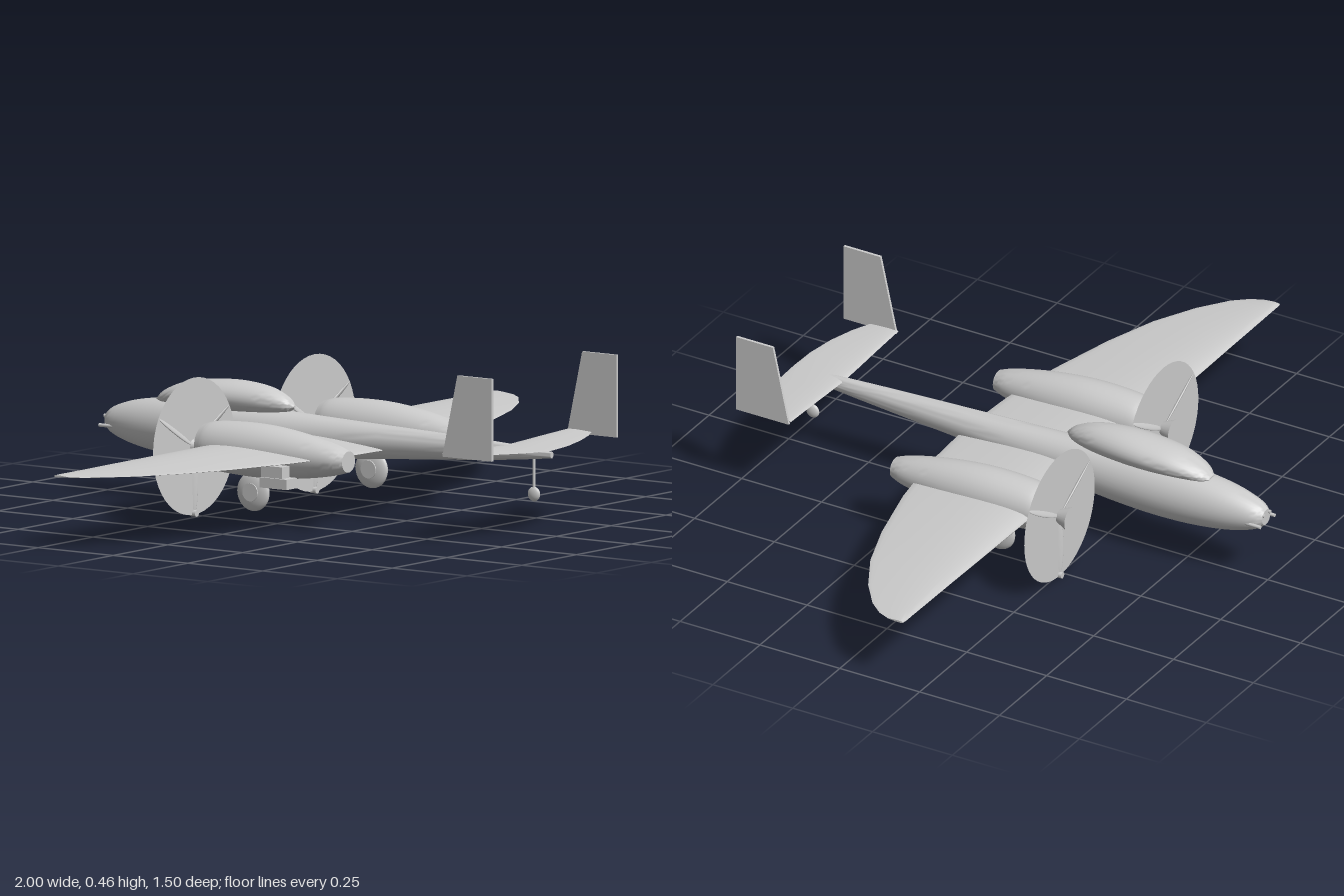
import * as THREE from 'three';
import { toCreasedNormals } from 'three/addons/utils/BufferGeometryUtils.js';

const mat = new THREE.MeshStandardMaterial({ color: 0xcccccc });
const thinMat = new THREE.MeshStandardMaterial({ color: 0xcccccc, side: THREE.DoubleSide });

function add(parent, name, geometry, x = 0, y = 0, z = 0, material = mat) {
  const mesh = new THREE.Mesh(geometry, material);
  mesh.name = name;
  mesh.position.set(x, y, z);
  parent.add(mesh);
  return mesh;
}

// Skin a list of equal-length rings and close both ends
function loft(rings, crease = 0.7) {
  const n = rings[0].length, pos = [], idx = [];
  rings.forEach(r => r.forEach(p => pos.push(...p)));
  for (let i = 0; i < rings.length - 1; i++) {
    for (let j = 0; j < n; j++) {
      const a = i * n + j, b = i * n + (j + 1) % n;
      idx.push(a, b, a + n, b, b + n, a + n);
    }
  }
  [0, rings.length - 1].forEach((r, end) => {
    const c = pos.length / 3;
    pos.push(...[0, 1, 2].map(k => rings[r].reduce((s, p) => s + p[k], 0) / n));
    for (let j = 0; j < n; j++) {
      const a = r * n + j, b = r * n + (j + 1) % n;
      idx.push(c, end ? a : b, end ? b : a);
    }
  });
  const g = new THREE.BufferGeometry();
  g.setAttribute('position', new THREE.Float32BufferAttribute(pos, 3));
  g.setIndex(idx);
  return toCreasedNormals(g, crease);
}

// Smoothly interpolate stations of four numbers
function smooth(stations, count) {
  const a = new THREE.CatmullRomCurve3(stations.map(s => new THREE.Vector3(s[0], s[1], 0)), false, 'centripetal');
  const b = new THREE.CatmullRomCurve3(stations.map(s => new THREE.Vector3(s[0], s[2], s[3])), false, 'centripetal');
  return Array.from({ length: count + 1 }, (_, i) => {
    const p = a.getPoint(i / count), q = b.getPoint(i / count);
    return [p.x, p.y, q.y, q.z];
  });
}

// Oval body along z; stations are [z, half width, bottom y, top y]
function body(stations, count = 40, sides = 32) {
  return loft(smooth(stations, count).map(([z, w, lo, hi]) =>
    Array.from({ length: sides }, (_, j) => {
      const t = j / sides * Math.PI * 2;
      return [w * Math.cos(t), (lo + hi) / 2 + (hi - lo) / 2 * Math.sin(t), z];
    })));
}

// Aerofoil surface across x; stations are [x, leading z, trailing z, mid y, half thickness]
function aerofoil(half, sides = 28) {
  const all = [...half.slice(1).reverse().map(([x, ...r]) => [-x, ...r]), ...half];
  return loft(all.map(([x, lead, trail, y, h]) =>
    Array.from({ length: sides }, (_, j) => {
      const t = j / sides * Math.PI * 2, u = (1 + Math.sin(t)) / 2;
      return [x, y + h * Math.cos(t) * 1.3 * (1 - 0.75 * u), lead + (trail - lead) * u];
    })), 0.9);
}

function createPropeller() {
  const prop = new THREE.Group();
  prop.name = 'propeller';
  add(prop, 'propellerDisc', new THREE.CircleGeometry(0.187, 48), 0, 0, 0, thinMat);
  // Hub cone, wide end forward
  const hub = add(prop, 'hub', new THREE.ConeGeometry(0.034, 0.08, 24), 0, 0, 0.005);
  hub.rotation.x = Math.PI / 2;
  for (let i = 0; i < 3; i++) {
    const arm = new THREE.Group();
    arm.name = 'bladeArm';
    arm.rotation.z = Math.PI + i * Math.PI * 2 / 3;
    const blade = add(arm, 'blade', new THREE.SphereGeometry(1, 16, 12), 0, 0.096, 0);
    blade.scale.set(0.012, 0.09, 0.004);
    blade.rotation.y = 0.6;
    prop.add(arm);
  }
  const tip = add(prop, 'bladeTip', new THREE.CylinderGeometry(0.009, 0.009, 0.02, 12), 0, -0.183, 0);
  tip.rotation.x = Math.PI / 2;
  return prop;
}

export function createModel() {
  const model = new THREE.Group();
  model.name = 'twinEngineAircraft';

  add(model, 'fuselage', body([
    [-0.745, 0.022, 0.175, 0.22], [-0.725, 0.037, 0.16, 0.235], [-0.66, 0.055, 0.138, 0.257],
    [-0.56, 0.068, 0.122, 0.272], [-0.43, 0.073, 0.116, 0.277], [-0.28, 0.069, 0.122, 0.275],
    [-0.1, 0.058, 0.14, 0.268], [0.1, 0.046, 0.16, 0.261], [0.4, 0.028, 0.183, 0.252],
    [0.6, 0.016, 0.2, 0.243], [0.735, 0.007, 0.215, 0.233]]));
  add(model, 'canopy', body([
    [-0.575, 0.015, 0.262, 0.275], [-0.55, 0.036, 0.258, 0.296], [-0.48, 0.058, 0.254, 0.324],
    [-0.39, 0.066, 0.25, 0.337], [-0.29, 0.06, 0.25, 0.34], [-0.2, 0.043, 0.255, 0.328],
    [-0.145, 0.022, 0.266, 0.305], [-0.125, 0.004, 0.28, 0.286]]));

  // Straight leading edge, curved trailing edge
  add(model, 'wing', aerofoil([
    [0, -0.2, 0.2, 0.195, 0.029], [0.2, -0.2, 0.188, 0.196, 0.026], [0.4, -0.2, 0.156, 0.198, 0.022],
    [0.6, -0.2, 0.105, 0.2, 0.017], [0.75, -0.2, 0.052, 0.202, 0.012], [0.87, -0.2, -0.012, 0.203, 0.008],
    [0.95, -0.2, -0.073, 0.204, 0.005], [0.985, -0.2, -0.115, 0.204, 0.004], [1, -0.198, -0.15, 0.204, 0.003]]));
  add(model, 'tailplane', aerofoil([
    [0, 0.575, 0.735, 0.236, 0.006], [0.08, 0.575, 0.73, 0.239, 0.006], [0.16, 0.575, 0.713, 0.243, 0.005],
    [0.23, 0.575, 0.688, 0.246, 0.004], [0.285, 0.575, 0.66, 0.248, 0.004]], 20));

  // Fin outline drawn in (-z, y) and turned to stand along z
  const finShape = new THREE.Shape([[-0.58, 0.24], [-0.63, 0.465], [-0.745, 0.465], [-0.745, 0.24]]
    .map(p => new THREE.Vector2(...p)));
  const finGeometry = new THREE.ExtrudeGeometry(finShape, { depth: 0.008, bevelEnabled: false });
  finGeometry.translate(0, 0, -0.004).rotateY(Math.PI / 2);

  const nacelleGeometry = body([
    [-0.22, 0.057, 0.145, 0.262], [-0.19, 0.066, 0.138, 0.27], [-0.1, 0.073, 0.131, 0.276],
    [0, 0.071, 0.13, 0.274], [0.12, 0.06, 0.14, 0.259], [0.22, 0.043, 0.157, 0.237],
    [0.255, 0.03, 0.167, 0.225]]);

  for (const s of [1, -1]) {
    const side = s > 0 ? 'left' : 'right';
    add(model, side + 'Fin', finGeometry, s * 0.285, 0, 0);
    add(model, side + 'Nacelle', nacelleGeometry, s * 0.273, 0, 0);
    const prop = createPropeller();
    prop.name = side + 'Propeller';
    prop.position.set(s * 0.275, 0.196, -0.26);
    model.add(prop);
    // Main wheel tucked under the nacelle
    const tyre = add(model, side + 'Wheel', new THREE.SphereGeometry(0.053, 28, 20), s * 0.27, 0.088, -0.065);
    tyre.scale.x = 0.3;
    const cap = add(model, side + 'WheelHub', new THREE.CylinderGeometry(0.025, 0.025, 0.034, 20), s * 0.27, 0.088, -0.065);
    cap.rotation.z = Math.PI / 2;
    add(model, side + 'Radiator', new THREE.BoxGeometry(0.048, 0.028, 0.09), s * 0.375, 0.138, 0.095);
    add(model, side + 'RadiatorMount', new THREE.BoxGeometry(0.035, 0.035, 0.07), s * 0.375, 0.166, 0.085);
    // Nose guns, two each side
    for (const [x, y] of [[0.038, 0.185], [0.015, 0.208]]) {
      const gun = add(model, side + 'Gun', new THREE.CylinderGeometry(0.005, 0.005, 0.06, 10), s * x, y, -0.72);
      gun.rotation.x = Math.PI / 2;
    }
  }

  // Tail wheel
  add(model, 'tailStrut', new THREE.CylinderGeometry(0.004, 0.004, 0.11, 10), 0, 0.165, 0.675);
  const tailWheel = add(model, 'tailWheel', new THREE.SphereGeometry(0.02, 18, 14), 0, 0.113, 0.675);
  tailWheel.scale.x = 0.45;

  return model;
}
